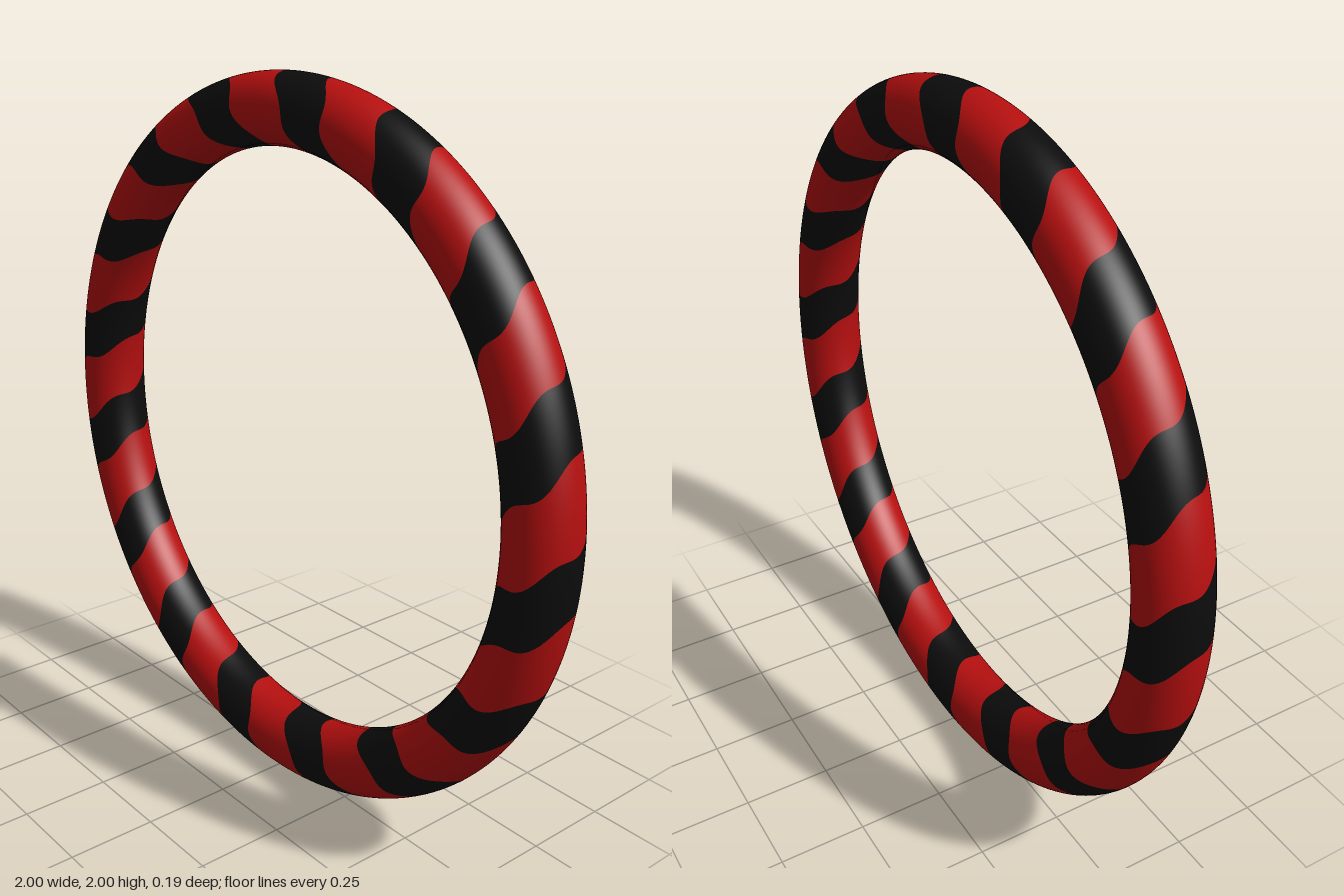
import * as THREE from 'three';
import { ParametricGeometry } from 'three/addons/geometries/ParametricGeometry.js';

const RING = 0.905, TUBE = 0.095, BANDS = 16;
const PITCH = (Math.PI * 2) / BANDS;
const DEG = Math.PI / 180;

// Angle of a stripe edge around the ring: a helix that advances one pitch
// per turn of the tube, softened into steps.
function edge(start, v, stepAt) {
  const stepped = v + 0.2 * Math.sin(4 * (v - stepAt));
  return start - PITCH * stepped / (Math.PI * 2);
}

// Strip of the ring surface between two stripe edges
function stripGeometry(from, to) {
  return new ParametricGeometry((u, t, p) => {
    const v = t * Math.PI * 2;
    const a = edge(from.start, v, from.step);
    const b = edge(to.start, v, to.step);
    const theta = a + (b - a) * u;
    const r = RING + TUBE * Math.cos(v);
    p.set(r * Math.cos(theta), r * Math.sin(theta), TUBE * Math.sin(v));
  }, 8, 64);
}

export function createModel() {
  const red = new THREE.MeshStandardMaterial({ color: 0xb50f0f });
  red.name = 'red';
  const black = new THREE.MeshStandardMaterial({ color: 0x0c0c0c });
  black.name = 'black';

  // Edges of one red stripe and the start of the next
  const lower = { start: 1 * DEG, step: 55 * DEG };
  const upper = { start: 13 * DEG, step: 30 * DEG };
  const next = { start: lower.start + PITCH, step: lower.step };
  const redStrip = stripGeometry(lower, upper);
  const blackStrip = stripGeometry(upper, next);

  // Striped hoop, standing upright
  const hoop = new THREE.Group();
  hoop.name = 'hoop';
  hoop.position.y = 1;
  for (let i = 0; i < BANDS; i++) {
    const redStripe = new THREE.Mesh(redStrip, red);
    redStripe.name = 'redStripe';
    const blackStripe = new THREE.Mesh(blackStrip, black);
    blackStripe.name = 'blackStripe';
    redStripe.rotation.z = blackStripe.rotation.z = i * PITCH;
    hoop.add(redStripe, blackStripe);
  }

  const model = new THREE.Group();
  model.name = 'stripedHoop';
  model.add(hoop);
  return model;
}
